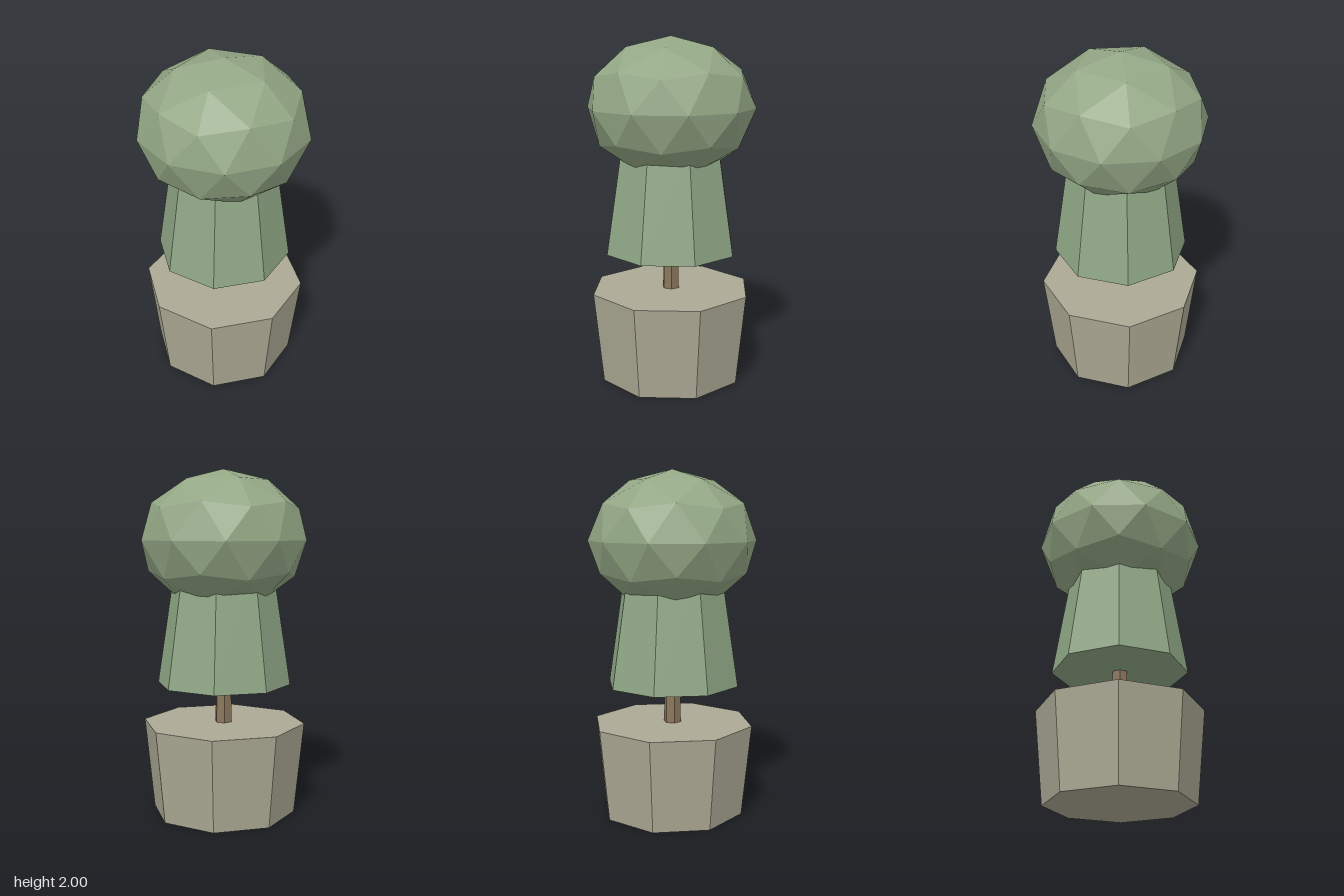
import * as THREE from 'three';

export function createModel() {
  const group = new THREE.Group();
  const material = (name, color) => {
    const m = new THREE.MeshStandardMaterial({ color, flatShading: true });
    m.name = name;
    return m;
  };
  const stone = material('stone', 0xaca994);
  const bark = material('bark', 0x8a765c);
  const leaf = material('leaf green', 0x90a886);
  const crownLeaf = material('crown green', 0x93a785);

  const add = (name, geometry, mat, y) => {
    const mesh = new THREE.Mesh(geometry, mat);
    mesh.name = name;
    mesh.position.y = y;
    group.add(mesh);
    return mesh;
  };
  // Tapered prism standing between two heights
  const prism = (name, mat, rTop, rBottom, y0, y1, sides) =>
    add(name, new THREE.CylinderGeometry(rTop, rBottom, y1 - y0, sides), mat, (y0 + y1) / 2);

  // Octagonal planter and six-sided trunk
  prism('pot', stone, 0.475, 0.42, 0, 0.535, 8);
  prism('trunk', bark, 0.046, 0.052, 0.5, 0.85, 6).rotation.y = Math.PI / 6;

  // Clipped lower foliage, its top hidden inside the crown
  prism('lowerFoliage', leaf, 0.29, 0.39, 0.765, 1.42, 8);

  // Faceted crown: icosphere turned to stand on a five-sided corner, slightly flattened
  const crown = new THREE.IcosahedronGeometry(1, 1);
  crown.rotateZ(-Math.atan(2 / (1 + Math.sqrt(5))));
  crown.scale(0.485, 0.4, 0.485);
  add('crown', crown, crownLeaf, 1.6);

  return group;
}
